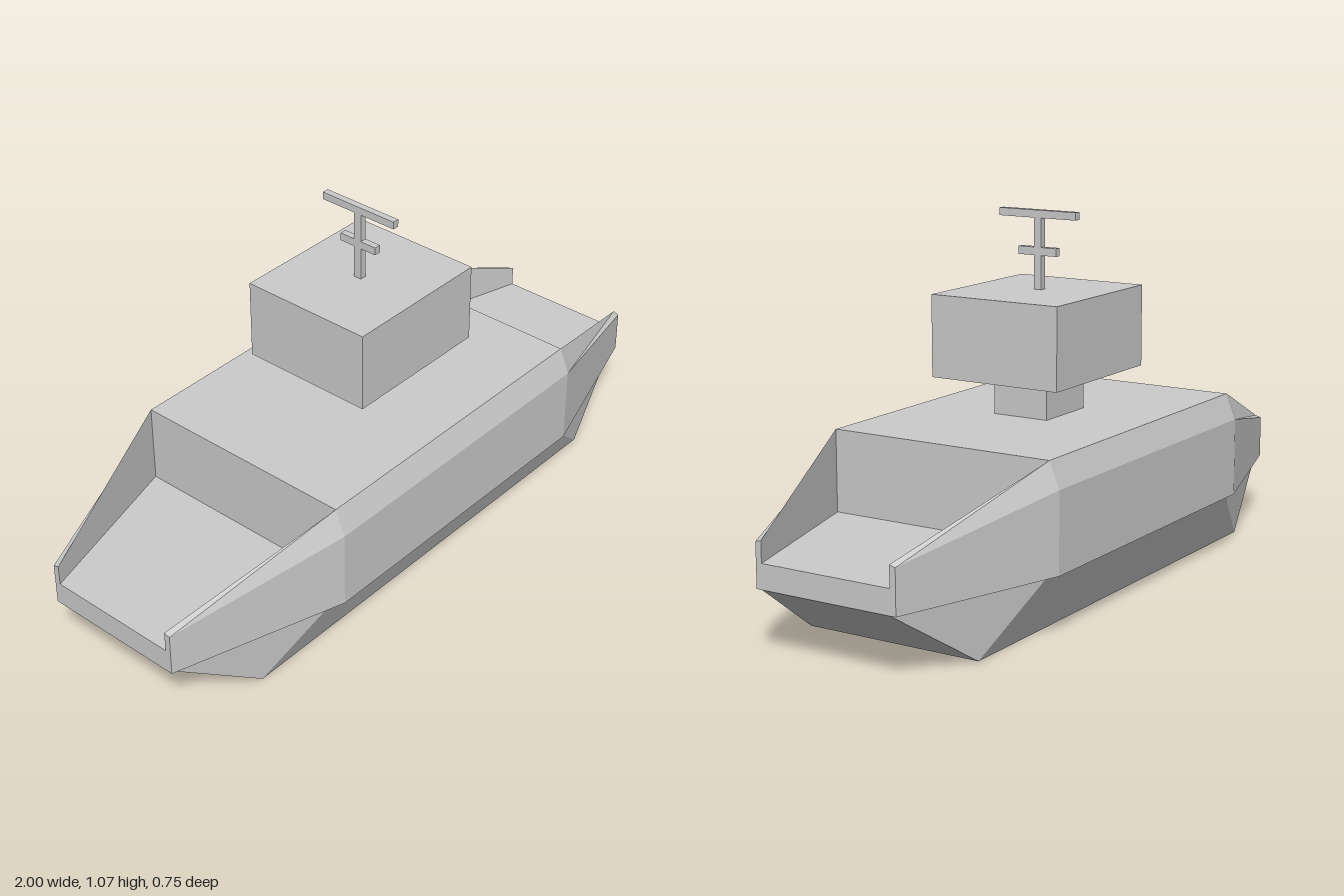
import * as THREE from 'three';

const shell = new THREE.MeshStandardMaterial({ color: 0xcccccc, flatShading: true, side: THREE.DoubleSide });

// Mesh from four-cornered faces
function faceMesh(name, quads) {
  const pos = [];
  for (const [a, b, c, d] of quads) pos.push(...a, ...b, ...c, ...a, ...c, ...d);
  const geo = new THREE.BufferGeometry();
  geo.setAttribute('position', new THREE.Float32BufferAttribute(pos, 3));
  geo.computeVertexNormals();
  const mesh = new THREE.Mesh(geo, shell);
  mesh.name = name;
  return mesh;
}

// Copy faces to the other side along one axis (0 = x, 2 = z), keeping them outward
function mirror(quads, axis) {
  const flipped = quads.map(q => q.map(p => p.map((v, i) => (i === axis ? -v : v))).reverse());
  return [...quads, ...flipped];
}

// Band of faces between a lower and an upper line
const strip = (a, b) => a.slice(1).map((p, i) => [a[i], p, b[i + 1], b[i]]);

// Line along the hull: values at the ends and amidships
const line = (yEnd, yMid, zEnd, zMid) =>
  [[-1, yEnd, zEnd], [-0.5, yMid, zMid], [0.5, yMid, zMid], [1, yEnd, zEnd]];

// Face spanning the hull between two points and their mirror images in z
const across = (p, q) =>
  [p, [p[0], p[1], -p[2]], [q[0], q[1], -q[2]], q];

function box(name, w, y0, y1, d, x = 0, z = 0) {
  const mesh = new THREE.Mesh(new THREE.BoxGeometry(w, y1 - y0, d), shell);
  mesh.position.set(x, (y0 + y1) / 2, z);
  mesh.name = name;
  return mesh;
}

export function createModel() {
  const model = new THREE.Group();
  model.name = 'vessel';

  const chineIn = line(0.185, 0.185, 0.2, 0.345);
  const chineOut = line(0.185, 0.185, 0.218, 0.375);
  const shoulder = line(0.31, 0.415, 0.218, 0.375);
  const rail = line(0.315, 0.49, 0.2, 0.345);
  const keel = [-0.72, -0.72, 0.72, 0.72].map(x => [x, 0, 0.27]);
  const floorIn = [0.5, 0.255, 0.345], floorEnd = [1, 0.255, 0.2];

  // Lower hull, open underneath, with raked ends
  model.add(faceMesh('lowerHull', [
    ...mirror(strip(keel, chineIn).filter((q, i) => i === 1), 2),
    ...mirror(mirror([[keel[3], chineIn[3], chineIn[2], keel[2]]], 2), 0),
    ...mirror([across(keel[3], chineIn[3])], 0),
  ]));

  // Upper hull sides: ledge, vertical wall and sloped shoulder
  model.add(faceMesh('upperHull', mirror([
    ...strip(chineIn, chineOut),
    ...strip(chineOut, shoulder),
    ...strip(shoulder, rail),
  ], 2)));

  // Bulwarks beside the end decks: inner faces and end caps
  model.add(faceMesh('bulwarks', mirror(mirror([
    [floorIn, rail[2], rail[3], floorEnd],
    [chineOut[3], chineIn[3], rail[3], shoulder[3]],
  ], 2), 0)));

  // Raised main deck
  model.add(faceMesh('mainDeck', [
    [rail[1], rail[2], [0.5, 0.49, -0.345], [-0.5, 0.49, -0.345]],
  ]));

  // Sunken end decks with their steps and end plates
  model.add(faceMesh('endDecks', mirror([
    across(floorIn, rail[2]),
    across(chineIn[3], floorEnd),
    across(floorEnd, floorIn),
  ], 0)));

  // Cabin on its pedestal
  model.add(box('pedestal', 0.2, 0.485, 0.605, 0.175));
  model.add(box('cabin', 0.466, 0.605, 0.84, 0.41, 0, 0.003));

  // Mast with two crossbars
  const mast = new THREE.Group();
  mast.name = 'mast';
  mast.add(
    box('mastPole', 0.02, 0.835, 1.043, 0.024, -0.007, 0.004),
    box('lowerCrossbar', 0.02, 0.937, 0.96, 0.124, -0.007, 0.005),
    box('upperCrossbar', 0.02, 1.043, 1.065, 0.252, -0.007, 0.005),
  );
  model.add(mast);
  return model;
}
